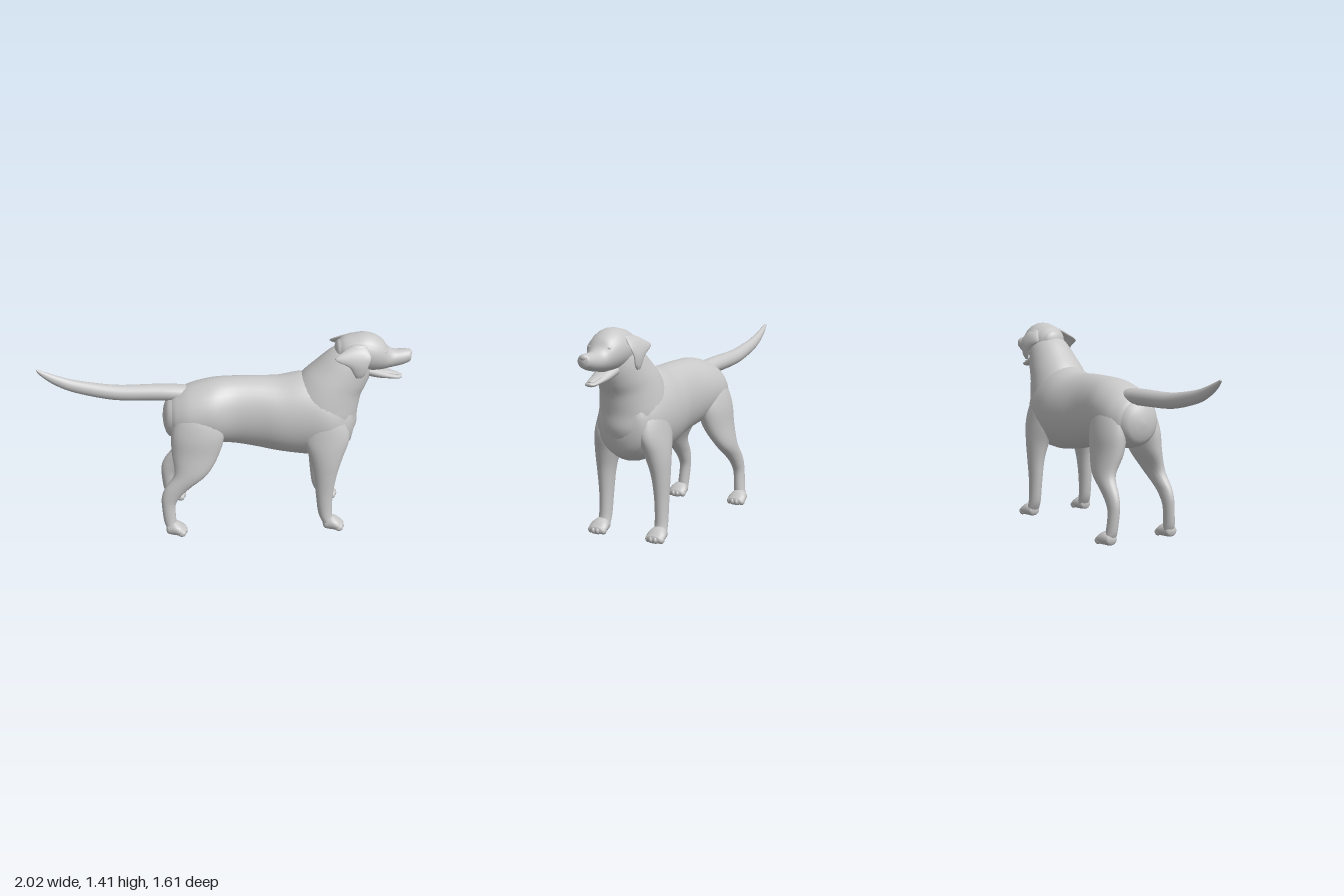
import * as THREE from 'three';

const coat = new THREE.MeshStandardMaterial({ color: 0xc8c8c8 });
coat.name = 'grey coat';

// Catmull-Rom blend between cross-sections
function blend(a, b, c, d, t) {
  return b.map((_, k) => 0.5 * (2 * b[k] + (c[k] - a[k]) * t
    + (2 * a[k] - 5 * b[k] + 4 * c[k] - d[k]) * t * t
    + (3 * b[k] - a[k] - 3 * c[k] + d[k]) * t * t * t));
}

// Domed end: shrinking rings pushed out along the travel direction
function dome([x, y, z, ru, rz, deg], sign) {
  const f = deg * Math.PI / 180;
  const depth = 0.45 * Math.min(ru, rz) * sign;
  return [0.35, 0.65, 0.9, 0.995].map(k => {
    const r = Math.sqrt(1 - k * k);
    return [x + Math.cos(f) * depth * k, y + Math.sin(f) * depth * k, z, ru * r, rz * r, deg];
  });
}

// Smooth skin over elliptical sections [x, y, z, radius in profile, radius in z, travel angle in degrees]
function loft(name, sections, sides = 24, steps = 5) {
  const at = i => sections[Math.max(0, Math.min(sections.length - 1, i))];
  const last = sections[sections.length - 1];
  const rings = dome(sections[0], -1).reverse();
  for (let i = 0; i < sections.length - 1; i++)
    for (let k = 0; k < steps; k++)
      rings.push(blend(at(i - 1), at(i), at(i + 1), at(i + 2), k / steps));
  rings.push(last, ...dome(last, 1));
  const closed = r => [r[0], r[1], r[2], 0.0003, 0.0003, r[5]];
  rings.unshift(closed(rings[0]));
  rings.push(closed(rings[rings.length - 1]));

  const pos = [], index = [];
  rings.forEach(([x, y, z, ru, rz, deg], i) => {
    const f = deg * Math.PI / 180;
    for (let j = 0; j < sides; j++) {
      const a = j / sides * Math.PI * 2;
      const u = ru * Math.cos(a);
      pos.push(x - Math.sin(f) * u, Math.max(0.003, y + Math.cos(f) * u), z + rz * Math.sin(a));
      if (i < rings.length - 1) {
        const p = i * sides + j, q = i * sides + (j + 1) % sides;
        index.push(p, q, p + sides, q, q + sides, p + sides);
      }
    }
  });
  const g = new THREE.BufferGeometry();
  g.setAttribute('position', new THREE.Float32BufferAttribute(pos, 3));
  g.setIndex(index);
  g.computeVertexNormals();
  const mesh = new THREE.Mesh(g, coat);
  mesh.name = name;
  return mesh;
}

function ball(name, x, y, z, rx, ry, rz) {
  const mesh = new THREE.Mesh(new THREE.SphereGeometry(1, 16, 12), coat);
  mesh.name = name;
  mesh.position.set(x, y, z);
  mesh.scale.set(rx, ry, rz);
  return mesh;
}

export function createModel() {
  const model = new THREE.Group();
  model.name = 'dog';
  const dog = new THREE.Group(); // built facing +x, then turned to the diagonal
  dog.name = 'dogBody';
  dog.rotation.y = -0.669;
  model.add(dog);

  // Trunk, rump to breast
  dog.add(loft('trunk', [
    [-0.375, 0.81, 0, 0.15, 0.14, 0],
    [-0.34, 0.815, 0, 0.175, 0.168, 0],
    [-0.25, 0.83, 0, 0.21, 0.20, 0],
    [-0.10, 0.85, 0, 0.23, 0.205, 0],
    [0.05, 0.845, -0.01, 0.245, 0.18, 0],
    [0.20, 0.83, -0.01, 0.26, 0.185, 0],
    [0.36, 0.81, -0.01, 0.275, 0.215, 0],
    [0.52, 0.81, -0.01, 0.30, 0.235, 0],
    [0.66, 0.80, 0, 0.298, 0.24, 0],
    [0.75, 0.785, 0, 0.268, 0.222, 0],
    [0.81, 0.775, 0, 0.225, 0.185, 0],
  ], 32));

  // Neck, rising out of the chest
  dog.add(loft('neckAndChest', [
    [0.64, 0.64, 0, 0.225, 0.18, 90],
    [0.645, 0.74, 0, 0.262, 0.218, 90],
    [0.655, 0.85, 0, 0.255, 0.224, 88],
    [0.68, 0.95, 0, 0.243, 0.21, 80],
    [0.725, 1.04, 0, 0.218, 0.19, 72],
    [0.785, 1.115, 0, 0.194, 0.17, 66],
    [0.855, 1.205, 0, 0.16, 0.142, 58],
    [0.91, 1.27, 0, 0.11, 0.11, 52],
  ], 32));

  // Skull running into the upper muzzle
  dog.add(loft('head', [
    [0.77, 1.285, 0, 0.075, 0.08, 0],
    [0.80, 1.28, 0, 0.1, 0.105, 0],
    [0.85, 1.272, 0, 0.123, 0.126, 0],
    [0.93, 1.275, 0, 0.133, 0.13, 0],
    [1.00, 1.267, 0, 0.127, 0.122, 0],
    [1.06, 1.25, 0, 0.107, 0.102, 0],
    [1.10, 1.228, 0, 0.077, 0.08, 0],
    [1.14, 1.22, 0, 0.062, 0.066, 0],
    [1.20, 1.226, 0, 0.055, 0.057, 0],
    [1.245, 1.234, 0, 0.046, 0.046, 0],
  ]));
  dog.add(ball('nose', 1.243, 1.256, 0, 0.026, 0.025, 0.033));

  // Open lower jaw and tongue
  dog.add(loft('lowerJaw', [
    [0.97, 1.145, 0, 0.045, 0.08, -14],
    [1.05, 1.115, 0, 0.036, 0.066, -14],
    [1.12, 1.095, 0, 0.024, 0.052, -12],
    [1.18, 1.082, 0, 0.016, 0.038, -6],
    [1.205, 1.083, 0, 0.010, 0.024, 0],
  ], 20));
  dog.add(loft('tongue', [
    [1.02, 1.143, 0, 0.012, 0.035, -16],
    [1.11, 1.118, 0, 0.012, 0.034, -14],
    [1.17, 1.10, 0, 0.010, 0.026, -12],
    [1.19, 1.096, 0, 0.005, 0.014, -10],
  ], 16));

  for (const [side, m] of [['right', 1], ['left', -1]]) {
    const put = (name, list, sides) => dog.add(loft(side + name,
      list.map(([x, y, z, ...rest]) => [x, y, z * m, ...rest]), sides));

    // Folded ear with its rear corner swept back
    put('Ear', [
      [0.885, 1.355, 0.098, 0.05, 0.02, -90],
      [0.867, 1.328, 0.128, 0.086, 0.022, -90],
      [0.843, 1.285, 0.160, 0.122, 0.014, -90],
      [0.88, 1.235, 0.172, 0.066, 0.013, -90],
      [0.89, 1.18, 0.170, 0.04, 0.012, -90],
      [0.885, 1.15, 0.165, 0.02, 0.008, -90],
    ], 20);

    // Half-sunk eye
    dog.add(ball(side + 'Eye', 1.066, 1.298, m * 0.068, 0.017, 0.011, 0.016));

    // Front leg, sloping into the shoulder
    put('FrontLeg', [
      [0.66, 0.98, 0.085, 0.09, 0.05, -90],
      [0.665, 0.85, 0.13, 0.145, 0.092, -90],
      [0.68, 0.70, 0.16, 0.165, 0.092, -90],
      [0.685, 0.56, 0.19, 0.115, 0.076, -90],
      [0.682, 0.43, 0.207, 0.081, 0.058, -90],
      [0.68, 0.27, 0.212, 0.06, 0.046, -90],
      [0.69, 0.12, 0.215, 0.048, 0.043, -90],
      [0.715, 0.05, 0.218, 0.04, 0.046, -90],
    ]);

    // Hind leg: thigh, hock and shank
    put('HindLeg', [
      [-0.19, 0.98, 0.07, 0.09, 0.05, -90],
      [-0.195, 0.87, 0.105, 0.155, 0.092, -90],
      [-0.20, 0.74, 0.135, 0.183, 0.099, -90],
      [-0.215, 0.60, 0.155, 0.166, 0.09, -90],
      [-0.25, 0.46, 0.20, 0.117, 0.062, -90],
      [-0.345, 0.355, 0.214, 0.087, 0.046, -90],
      [-0.39, 0.29, 0.218, 0.066, 0.041, -90],
      [-0.41, 0.22, 0.222, 0.048, 0.038, -90],
      [-0.402, 0.10, 0.232, 0.043, 0.039, -90],
      [-0.39, 0.05, 0.238, 0.036, 0.044, -90],
    ]);

    // Paws with toes
    for (const [name, x, z] of [['Front', 0.715, 0.221], ['Hind', -0.392, 0.243]]) {
      put(name + 'Paw', [
        [x - 0.022, 0.045, z, 0.04, 0.042, 0],
        [x + 0.015, 0.05, z, 0.052, 0.056, 0],
        [x + 0.055, 0.042, z, 0.044, 0.067, 0],
        [x + 0.09, 0.03, z, 0.028, 0.058, 0],
      ], 20);
      for (const k of [-1.5, -0.5, 0.5, 1.5])
        dog.add(ball(side + name + 'Toe', x + 0.088 - 0.012 * Math.abs(k), 0.027,
          m * z + k * 0.032, 0.029, 0.025, 0.019));
    }
  }

  // Tail, rising to a point
  dog.add(loft('tail', [
    [-0.17, 0.955, -0.012, 0.05, 0.06, 190],
    [-0.27, 0.975, -0.012, 0.058, 0.066, 185],
    [-0.38, 0.986, -0.012, 0.057, 0.065, 180],
    [-0.51, 0.99, -0.01, 0.057, 0.06, 177],
    [-0.765, 1.0, 0, 0.053, 0.051, 172],
    [-1.02, 1.05, 0, 0.044, 0.038, 163],
    [-1.15, 1.098, 0, 0.034, 0.028, 157],
    [-1.235, 1.145, 0, 0.021, 0.018, 152],
    [-1.28, 1.178, 0, 0.008, 0.008, 150],
  ], 20));

  return model;
}
